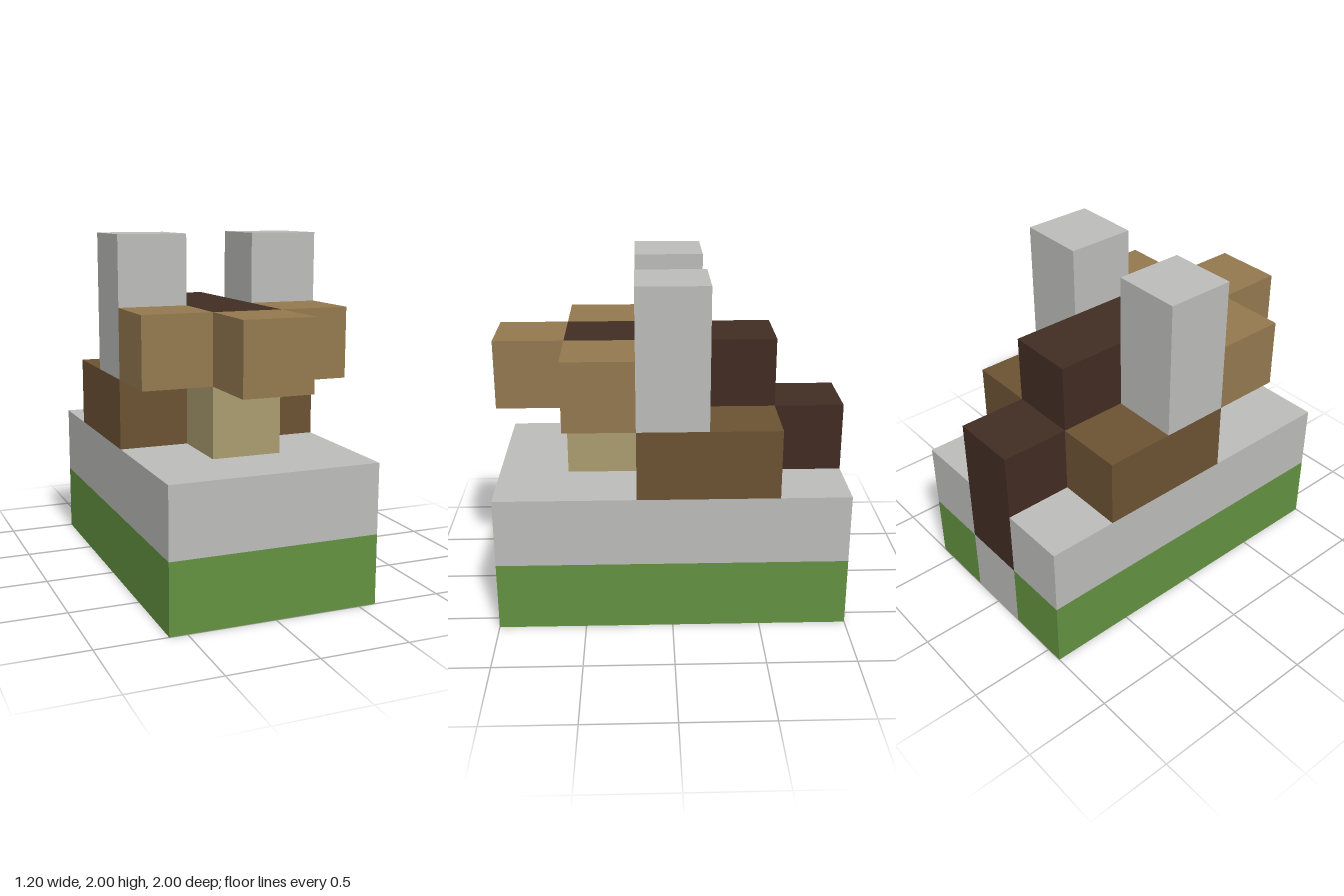
import * as THREE from 'three';

const CELL = 0.4;

function mat(name, color) {
  const m = new THREE.MeshStandardMaterial({ color });
  m.name = name;
  return m;
}

export function createModel() {
  const green = mat('grass green', 0x629140);
  const grey = mat('stone grey', 0xbbbbb9);
  const brown = mat('brown', 0x6b5233);
  const tan = mat('tan', 0x93784e);
  const khaki = mat('khaki', 0xaa9c70);
  const dark = mat('dark brown', 0x412c22);

  const model = new THREE.Group();
  model.name = 'blockCreature';

  // Block spanning whole cells: inclusive ranges, x -1..1, y 0..4, z -2..2
  function block(name, material, [x0, x1], [y0, y1], [z0, z1]) {
    const mesh = new THREE.Mesh(
      new THREE.BoxGeometry((x1 - x0 + 1) * CELL, (y1 - y0 + 1) * CELL, (z1 - z0 + 1) * CELL),
      material
    );
    mesh.position.set(((x0 + x1) / 2) * CELL, ((y0 + y1 + 1) / 2) * CELL, ((z0 + z1) / 2) * CELL);
    mesh.name = name;
    model.add(mesh);
  }

  // Mirrored parts
  for (const [x, side] of [[1, 'left'], [-1, 'right']]) {
    block(side + 'GrassSide', green, [x, x], [0, 0], [-2, 2]);
    block(side + 'StoneSide', grey, [x, x], [1, 1], [-2, 2]);
    block(side + 'Haunch', brown, [x, x], [2, 2], [-1, 0]);
    block(side + 'Cheek', tan, [x, x], [3, 3], [1, 1]);
    block(side + 'Ear', grey, [x, x], [3, 4], [0, 0]);
  }

  // Middle column of the base, with stone set into the grass
  block('grassFront', green, [0, 0], [0, 0], [2, 2]);
  block('stoneUnderside', grey, [0, 0], [0, 0], [0, 1]);
  block('grassMiddle', green, [0, 0], [0, 0], [-1, -1]);
  block('stoneBack', grey, [0, 0], [0, 0], [-2, -2]);
  block('stoneMiddle', grey, [0, 0], [1, 1], [-1, 2]);

  // Body, head and tail along the centre
  block('chest', khaki, [0, 0], [2, 2], [1, 1]);
  block('belly', brown, [0, 0], [2, 2], [-1, 0]);
  block('backStripe', dark, [0, 0], [3, 3], [-1, 1]);
  block('snout', tan, [0, 0], [3, 3], [2, 2]);
  block('tail', dark, [0, 0], [1, 2], [-2, -2]);

  return model;
}
